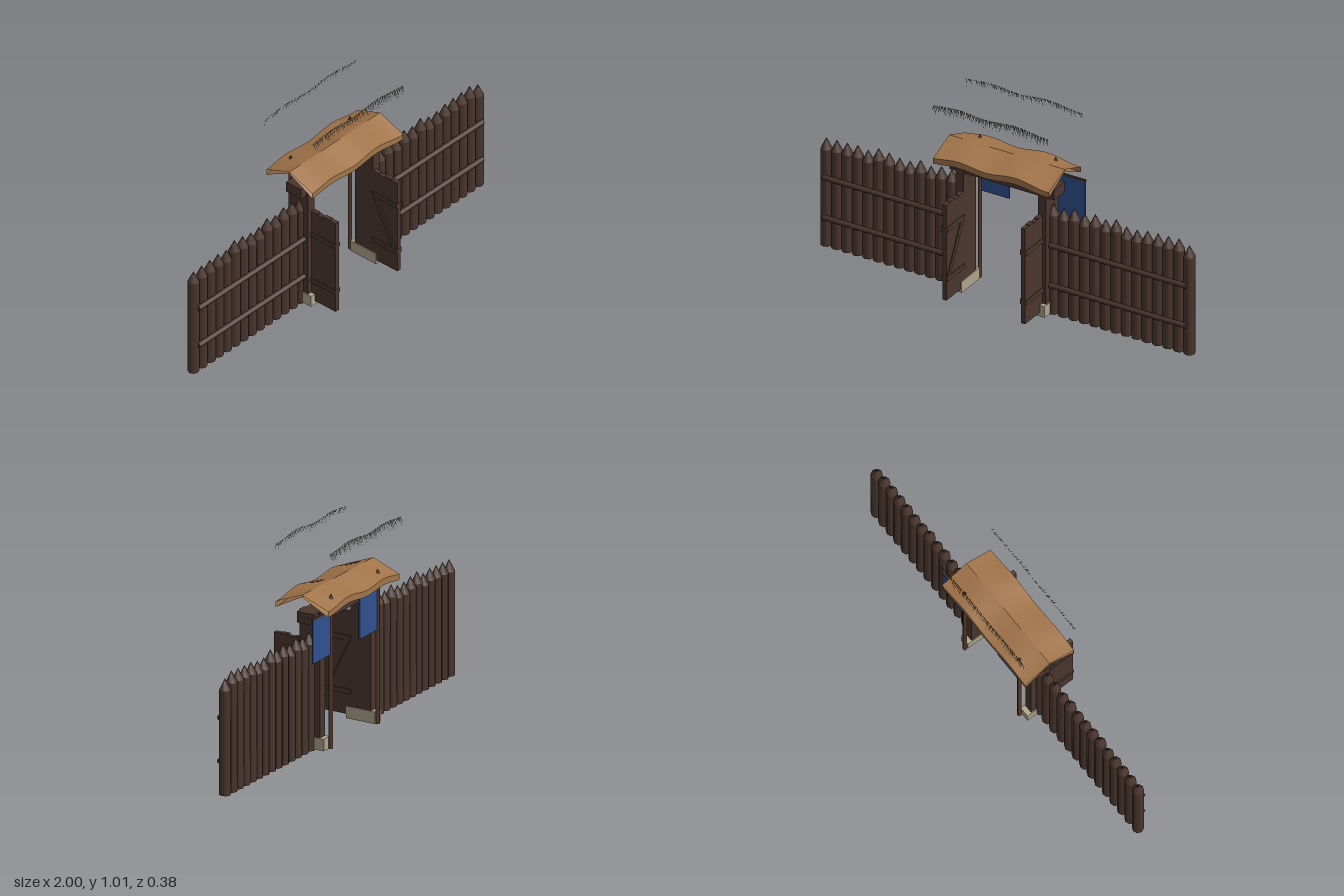
import * as THREE from 'three';
import { mergeGeometries } from 'three/addons/utils/BufferGeometryUtils.js';

const mat = (name, color, side = THREE.FrontSide) => {
  const m = new THREE.MeshStandardMaterial({ color, side });
  m.name = name;
  return m;
};

function seeded(seed) {
  return () => {
    seed = (seed * 16807) % 2147483647;
    return seed / 2147483647;
  };
}

export function createModel() {
  const wood = mat('darkWood', 0x4a362e);
  const poleWood = mat('poleWood', 0x573c2e);
  const stone = mat('stone', 0xaea48c);
  const cloth = mat('blueCloth', 0x30508e);
  const roofWood = mat('roofWood', 0xa2754a, THREE.DoubleSide);
  const straw = mat('dryStraw', 0x5c5846, THREE.DoubleSide);

  const model = new THREE.Group();
  model.name = 'palisadeGate';
  const rand = seeded(77);

  const add = (parent, name, geometry, material, x = 0, y = 0, z = 0) => {
    const mesh = new THREE.Mesh(geometry, material);
    mesh.name = name;
    mesh.position.set(x, y, z);
    parent.add(mesh);
    return mesh;
  };
  // Box given by its limits on each axis
  const box = (parent, name, material, [x0, x1], [y0, y1], [z0, z1]) =>
    add(parent, name, new THREE.BoxGeometry(x1 - x0, y1 - y0, z1 - z0), material,
      (x0 + x1) / 2, (y0 + y1) / 2, (z0 + z1) / 2);

  // Palisade walls: sharpened logs and two rails on each side
  for (const s of [-1, 1]) {
    const wall = new THREE.Group();
    wall.name = s > 0 ? 'leftPalisade' : 'rightPalisade';
    model.add(wall);
    for (let i = 0; i < 14; i++) {
      const shoulder = 0.505 + 0.03 * rand();
      const x = s * (0.972 - i * 0.056);
      add(wall, 'log', new THREE.CylinderGeometry(0.028, 0.028, shoulder, 8), wood, x, shoulder / 2, -0.015);
      add(wall, 'logTip', new THREE.ConeGeometry(0.028, 0.056, 8), wood, x, shoulder + 0.028, -0.015);
    }
    for (const y of [0.155, 0.365]) {
      const rail = add(wall, 'rail', new THREE.CylinderGeometry(0.013, 0.013, 0.73, 8), wood, s * 0.607, y, 0.015);
      rail.rotation.z = Math.PI / 2;
    }
  }

  // Gateway, set slightly off centre
  const gate = new THREE.Group();
  gate.name = 'gateway';
  gate.position.x = -0.005;
  model.add(gate);

  for (const s of [-1, 1]) {
    const span = (a, b) => (s > 0 ? [a, b] : [-b, -a]);
    box(gate, 'gatePost', wood, span(0.2, 0.243), [0.01, 0.67], [-0.07, 0.04]);
    box(gate, 'postFooting', stone, span(0.196, 0.248), [0.006, 0.064], [-0.095, 0.062]);

    // Open door: planks, straps on both faces and a diagonal brace inside
    const door = new THREE.Group();
    door.name = 'door';
    gate.add(door);
    [0.525, 0.52, 0.528, 0.525].forEach((top, i) =>
      box(door, 'doorPlank', wood, span(0.2, 0.222), [0.026, top], [0.04 + i * 0.0375, 0.0775 + i * 0.0375]));
    for (const y of [0.125, 0.384])
      box(door, 'doorStrap', wood, span(0.194, 0.228), [y, y + 0.024], [0.038, 0.191]);
    const brace = add(door, 'doorBrace', new THREE.BoxGeometry(0.006, 0.27, 0.024), wood, s * 0.198, 0.266, 0.115);
    brace.rotation.x = -0.46;

    // Banner pole, its tip, crossbar and cloth, both flying the same way
    const x = s * 0.203 + 0.002, z = -0.106;
    add(gate, 'bannerPole', new THREE.CylinderGeometry(0.01, 0.01, 0.72, 8), poleWood, x, 0.37, z);
    add(gate, 'poleTip', new THREE.ConeGeometry(0.014, 0.034, 8), poleWood, x, 0.744, z);
    box(gate, 'bannerBar', wood, [x, x + 0.162], [0.674, 0.684], [z - 0.005, z + 0.005]);
    box(gate, 'banner', cloth, [x + 0.01, x + 0.16], [0.466, 0.675], [z - 0.003, z + 0.003]);
  }
  box(gate, 'lintel', wood, [-0.28, 0.28], [0.617, 0.671], [-0.062, 0.03]);

  // Roof: wavy sheets, open at the gable ends, that thicken toward the eaves
  const wave = (x) => Math.sin((x + 0.26) * 20) * 0.7 + Math.sin((x + 0.1) * 9) * 0.3;
  const ridgeZ = -0.015, half = 0.31;
  const section = (x, s) => [
    [0.766, ridgeZ],
    [0.722 + 0.013 * wave(x), ridgeZ + s * 0.141],
    [0.692 + 0.01 * wave(x), ridgeZ + s * 0.141],
    [0.757, ridgeZ],
  ];
  const strip = (s, k) => {
    const pos = [], idx = [], n = 36;
    for (let i = 0; i <= n; i++) {
      const x = -half + (2 * half * i) / n;
      const pts = section(x, s);
      for (const [y, z] of [pts[k], pts[k + 1]]) pos.push(x, y, z);
      if (i < n) {
        const a = i * 2;
        if (s > 0) idx.push(a, a + 1, a + 2, a + 1, a + 3, a + 2);
        else idx.push(a, a + 2, a + 1, a + 1, a + 2, a + 3);
      }
    }
    const g = new THREE.BufferGeometry();
    g.setAttribute('position', new THREE.Float32BufferAttribute(pos, 3));
    g.setIndex(idx);
    g.computeVertexNormals();
    return g;
  };
  const roofParts = ['roofTop', 'roofEave', 'roofUnderside'];
  for (const s of [-1, 1])
    roofParts.forEach((name, k) => add(gate, name, strip(s, k), roofWood));

  // Floating straw fringes: thin blades leaning outward
  for (const s of [-1, 1]) {
    const blades = [];
    for (let i = 0; i < 110; i++) {
      const x = -half + 2 * half * ((i + rand()) / 110);
      const top = 0.998 + 0.009 * wave(x);
      const drop = 0.015 + 0.035 * rand();
      const z0 = s > 0 ? 0.125 : -0.163;
      const z1 = z0 + s * (0.005 + 0.018 * rand());
      const g = new THREE.BufferGeometry();
      g.setAttribute('position', new THREE.Float32BufferAttribute(
        [x - 0.002, top, z0, x, top - drop, z1, x + 0.002, top, z0], 3));
      g.computeVertexNormals();
      blades.push(g);
    }
    add(gate, 'strawFringe', mergeGeometries(blades), straw);
  }

  return model;
}
